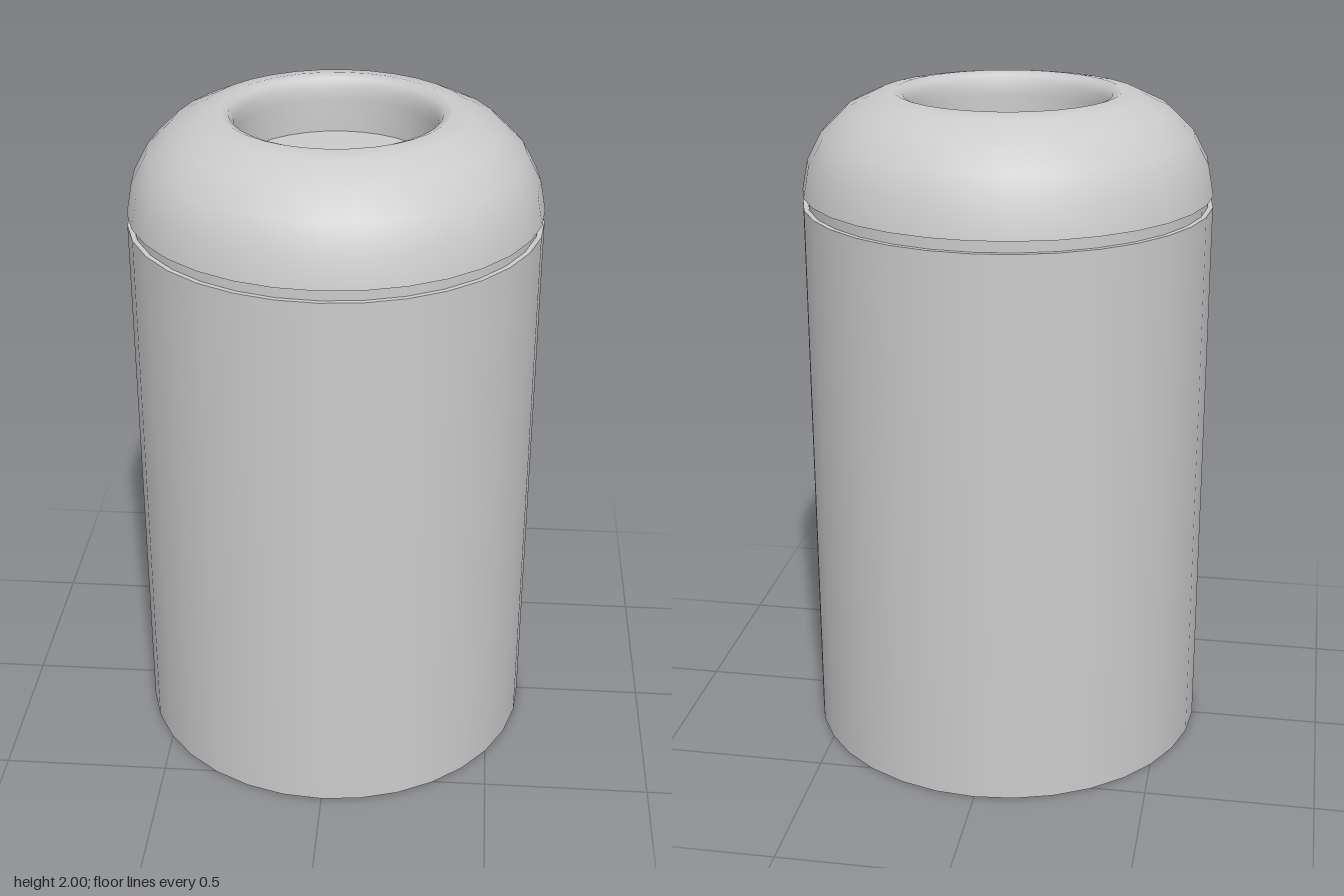
import * as THREE from 'three';

const SIDES = 32;
const material = new THREE.MeshStandardMaterial({ color: 0xcccccc });

// Turned part from [radius, height] points, listed bottom to top on the outside
function turned(name, points) {
  const profile = points.map(([r, y]) => new THREE.Vector2(r, y));
  const mesh = new THREE.Mesh(new THREE.LatheGeometry(profile, SIDES), material);
  mesh.name = name;
  return mesh;
}

function cylinder(name, radius, bottom, top) {
  const mesh = new THREE.Mesh(
    new THREE.CylinderGeometry(radius, radius, top - bottom, SIDES), material);
  mesh.position.y = (bottom + top) / 2;
  mesh.name = name;
  return mesh;
}

export function createModel() {
  const model = new THREE.Group();
  model.name = 'litterBin';

  // Drum and the recessed neck that carries the lid
  model.add(cylinder('body', 0.605, 0, 1.675));
  model.add(cylinder('neck', 0.59, 1.675, 1.71));

  // Domed lid, rolled over into the opening
  const lid = new THREE.Group();
  lid.name = 'lid';
  lid.add(turned('dome', [
    [0.605, 1.71], [0.588, 1.8], [0.545, 1.88], [0.473, 1.95],
    [0.388, 1.99], [0.33, 2], [0.305, 1.99], [0.292, 1.965], [0.29, 1.93], [0.29, 1.83],
  ]));
  lid.add(turned('lidUnderside', [[0.585, 1.71], [0.605, 1.71]]));

  // Floor of the opening
  const floor = new THREE.Mesh(new THREE.CircleGeometry(0.29, SIDES), material);
  floor.rotation.x = -Math.PI / 2;
  floor.position.y = 1.83;
  floor.name = 'openingFloor';
  lid.add(floor);

  model.add(lid);
  return model;
}
